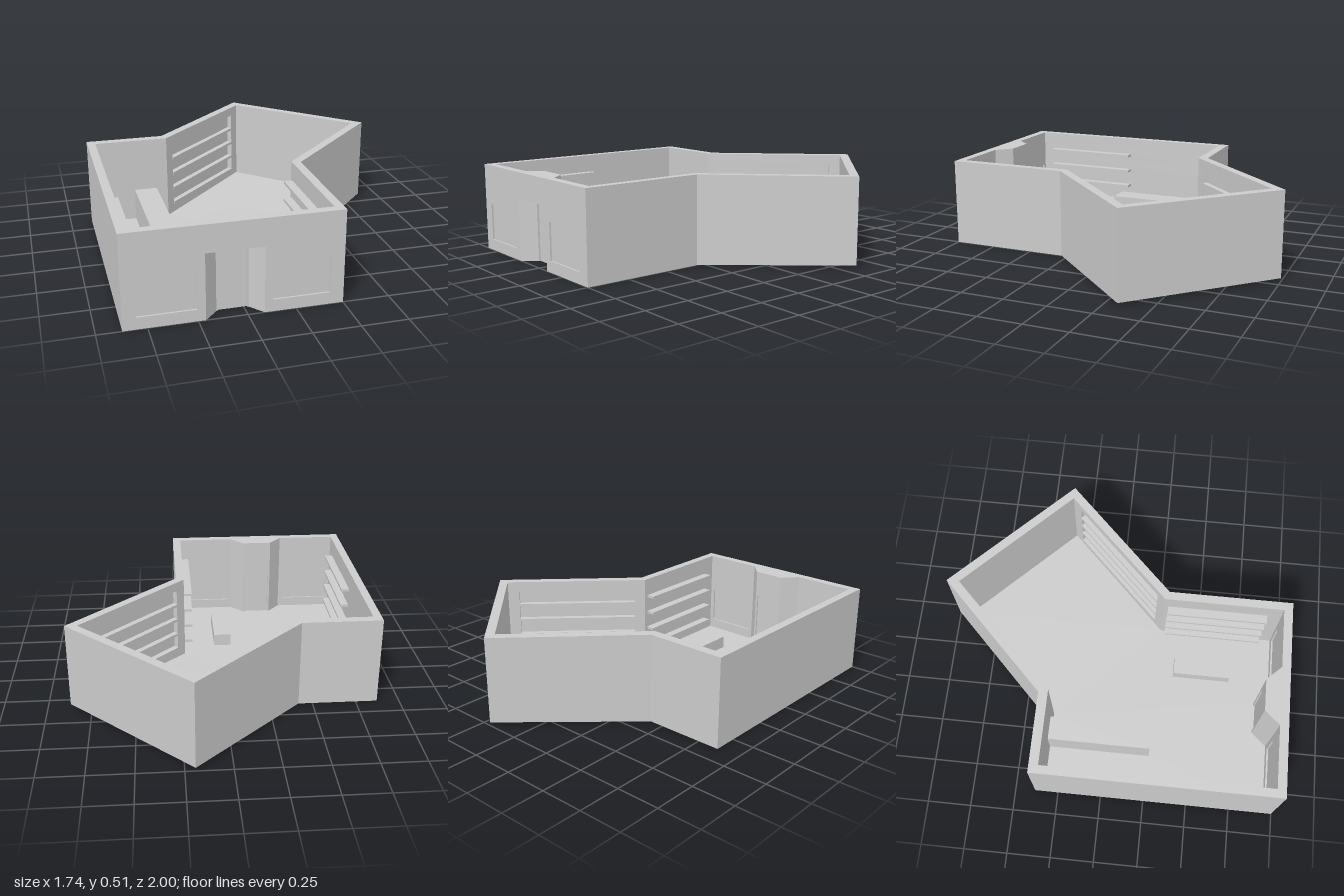
import * as THREE from 'three';

const H = 0.51;
const grey = new THREE.MeshStandardMaterial({ color: 0xcccccc, flatShading: true });

// The wing's underside climbs gently towards its far end.
const ramp = (x, z) => 0.019 * Math.min(1, Math.max(0, (x - z) / 1.195));

function toPath(points, Kind) {
  return new Kind(points.map(([x, z]) => new THREE.Vector2(x, -z)));
}

// Extrude a floor-plan outline (x, z) from y0 to y1; the hole runs the opposite way round.
function extrudePlan(points, hole, y0, y1) {
  const shape = toPath(points, THREE.Shape);
  if (hole) shape.holes.push(toPath(hole.reverse(), THREE.Path));
  const geo = new THREE.ExtrudeGeometry(shape, { depth: y1 - y0, bevelEnabled: false });
  geo.rotateX(-Math.PI / 2).translate(0, y0, 0);
  return geo;
}

// Raise vertices by the ramp; maxY limits it to the lower ones.
function applyRamp(geo, maxY) {
  const p = geo.attributes.position;
  for (let i = 0; i < p.count; i++) {
    if (p.getY(i) <= maxY) p.setY(i, p.getY(i) + ramp(p.getX(i), p.getZ(i)));
  }
  geo.computeVertexNormals();
  return geo;
}

// Four plan points cutting a notch between a and b, pushed in by (dx, dz).
function notch(a, b, dx, dz) {
  return [a, [a[0] + dx, a[1] + dz], [b[0] + dx, b[1] + dz], b];
}

const lerp = (a, b, t) => [a[0] + (b[0] - a[0]) * t, a[1] + (b[1] - a[1]) * t];

const windows = [[-0.805, -0.505], [-0.123, 0.178]];
const door = [-0.387, -0.232];
const wingWalls = [
  { a: [-0.4, -0.332], b: [0.195, -0.927], side: -1 },
  { a: [0.203, 0.268], b: [0.801, -0.33], side: 1 },
];
const NICHE = [0.075, 0.92], NICHE_DEPTH = 0.03, CUT = 0.01;

// Outside outline of the walls at height y.
function outerPlan(y) {
  const win = y > 0.065 && y < 0.28;
  const pts = [[-0.873, -0.385], [-0.42, -0.385], [0.195, -1], [0.871, -0.33], [0.251, 0.29], [0.251, 1]];
  const addWindow = ([l, r]) => { if (win) pts.push(...notch([r, 1], [l, 1], 0, -CUT)); };
  addWindow(windows[1]);
  if (y < 0.36) {
    pts.push([-0.163, 1], [-0.225, 0.925]);
    if (y < 0.35) pts.push(...notch([door[1], 0.925], [door[0], 0.925], 0, -CUT));
    pts.push([-0.393, 0.925], [-0.462, 1]);
  }
  addWindow(windows[0]);
  pts.push([-0.873, 1]);
  return pts;
}

// Inside outline of the walls at height y.
function innerPlan(y) {
  const win = y > 0.065 && y < 0.28;
  const niche = y > 0.055 && y < 0.455;
  const pts = [[-0.826, -0.332]];
  const addWing = ({ a, b, side }, flip) => {
    const d = side * NICHE_DEPTH * Math.SQRT1_2;
    const cut = notch(lerp(a, b, NICHE[0]), lerp(a, b, NICHE[1]), d, d);
    const run = [a, ...(niche ? cut : []), b];
    pts.push(...(flip ? run.reverse() : run));
  };
  const addWindow = ([l, r]) => { if (win) pts.push(...notch([r, 0.95], [l, 0.95], 0, CUT)); };
  addWing(wingWalls[0], false);
  addWing(wingWalls[1], true);
  pts.push([0.203, 0.95]);
  addWindow(windows[1]);
  pts.push([-0.14, 0.95], [-0.22, 0.865]);
  if (y < 0.35) pts.push(...notch([door[1], 0.865], [door[0], 0.865], 0, CUT));
  pts.push([-0.4, 0.865], [-0.475, 0.95]);
  addWindow(windows[0]);
  pts.push([-0.826, 0.95]);
  return pts;
}

export function createModel() {
  const model = new THREE.Group();
  model.name = 'roofless shop building';
  const add = (name, geo, parent = model) => {
    const mesh = new THREE.Mesh(geo, grey);
    mesh.name = name;
    parent.add(mesh);
    return mesh;
  };
  const box = (name, x0, x1, y0, y1, z0, z1) => {
    const mesh = add(name, new THREE.BoxGeometry(x1 - x0, y1 - y0, z1 - z0));
    mesh.position.set((x0 + x1) / 2, (y0 + y1) / 2, (z0 + z1) / 2);
  };

  // Walls, stacked in bands so that windows, door and niches are cut in
  const walls = new THREE.Group();
  walls.name = 'walls';
  model.add(walls);
  const levels = [0, 0.055, 0.065, 0.28, 0.35, 0.36, 0.455, H];
  for (let i = 0; i < levels.length - 1; i++) {
    const mid = (levels[i] + levels[i + 1]) / 2;
    const geo = extrudePlan(outerPlan(mid), innerPlan(mid), levels[i], levels[i + 1]);
    add('wallBand', i === 0 ? applyRamp(geo, 0.001) : geo, walls);
  }

  // Floors of the main room (reaching under the door) and the wing
  const mainFloor = [[-0.826, -0.332], [-0.4, -0.332], [0.203, 0.268], [0.203, 0.95], [-0.14, 0.95],
    [-0.22, 0.88], [-0.4, 0.88], [-0.475, 0.95], [-0.826, 0.95]];
  const wingFloor = [[-0.4, -0.332], [0.195, -0.927], [0.801, -0.33], [0.203, 0.268]];
  add('mainFloor', extrudePlan(mainFloor, null, 0.002, 0.006));
  add('wingFloor', applyRamp(extrudePlan(wingFloor, null, 0.002, 0.006), 1));

  // Counter and low display table
  box('counter', -0.604, -0.469, 0.004, 0.195, -0.333, 0.26);
  box('displayTable', -0.094, 0.012, 0.004, 0.08, 0.365, 0.705);

  // Shelves along both side walls of the main room
  for (let i = 0; i < 4; i++) {
    const y = 0.075 + i * 0.105;
    box('rightWallShelf', -0.828, -0.778, y, y + 0.015, 0.29, 0.87);
    box('leftWallShelf', 0.154, 0.205, y, y + 0.015, 0.29, 0.87);
  }

  // Shelves inside the wing's wall niches
  for (const { a, b, side } of wingWalls) {
    const length = Math.hypot(b[0] - a[0], b[1] - a[1]) * (NICHE[1] - NICHE[0]);
    const c = lerp(a, b, (NICHE[0] + NICHE[1]) / 2);
    const shift = side * 0.0135 * Math.SQRT1_2;
    for (let i = 0; i < 4; i++) {
      const shelf = add('nicheShelf', new THREE.BoxGeometry(length, 0.016, 0.034));
      shelf.position.set(c[0] + shift, 0.065 + i * 0.098, c[1] + shift);
      shelf.rotation.y = Math.PI / 4;
    }
  }
  return model;
}
